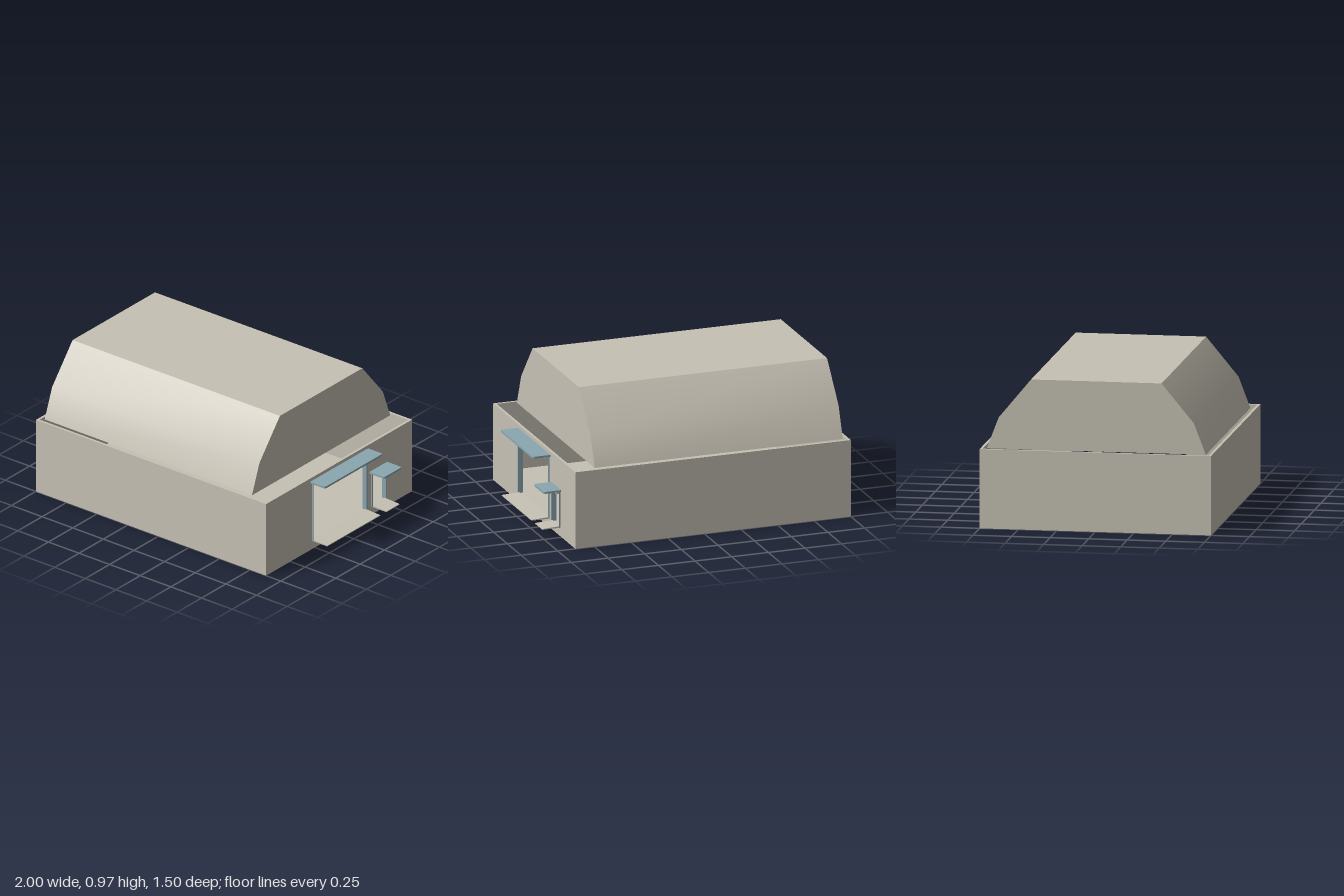
import * as THREE from 'three';
import { toCreasedNormals } from 'three/addons/utils/BufferGeometryUtils.js';

export function createModel() {
  const model = new THREE.Group();
  const stone = new THREE.MeshStandardMaterial({ color: 0xc6c1b4 });
  stone.name = 'warm grey';
  const blue = new THREE.MeshStandardMaterial({ color: 0x8ba7b1 });
  blue.name = 'dusty blue';

  const add = (name, geometry, material, parent = model) => {
    const mesh = new THREE.Mesh(geometry, material);
    mesh.name = name;
    parent.add(mesh);
    return mesh;
  };
  // Box given by its minimum and maximum corners
  const box = (name, [x0, y0, z0], [x1, y1, z1], material, parent) => {
    const g = new THREE.BoxGeometry(x1 - x0, y1 - y0, z1 - z0);
    g.translate((x0 + x1) / 2, (y0 + y1) / 2, (z0 + z1) / 2);
    return add(name, g, material, parent);
  };
  const rect = (path, a, b, c, d) => {
    path.moveTo(a, b).lineTo(c, b).lineTo(c, d).lineTo(a, d).closePath();
    return path;
  };
  // Outline in the z-y plane, extruded towards -x from the plane x = front
  const extrudeX = (shape, front, depth) => {
    const g = new THREE.ExtrudeGeometry(shape, { depth, bevelEnabled: false });
    return g.rotateY(-Math.PI / 2).translate(front, 0, 0);
  };

  const X0 = -1, X1 = 0.88, Z = 0.75, H = 0.515, T = 0.018, FLOOR = 0.06;
  const doors = [
    { name: 'largeDoor', z0: -0.28, z1: 0.28, top: 0.475, canopy: [-0.297, 0.295], y: 0.479 },
    { name: 'smallDoor', z0: -0.478, z1: -0.328, top: 0.3, canopy: [-0.493, -0.313], y: 0.303 },
  ];

  // Hollow lower hall, open at the top
  box('floor', [X0 + T, 0, -Z + T], [X1 - T, FLOOR, Z - T], stone);
  box('frontWall', [X0, 0, Z - T], [X1, H, Z], stone);
  box('backWall', [X0, 0, -Z], [X1, H, -Z + T], stone);
  box('rearEndWall', [X0, 0, -Z + T], [X0 + T, H, Z - T], stone);
  const wall = rect(new THREE.Shape(), -Z + T, 0, Z - T, H);
  for (const d of doors) wall.holes.push(rect(new THREE.Path(), d.z0, FLOOR, d.z1, d.top));
  add('doorWall', extrudeX(wall, X1, T), stone);

  // Raised roof with softly bent sides
  const roof = new THREE.Shape([
    [-0.71, H], [0.71, H], [0.633, 0.717], [0.423, 0.97], [-0.423, 0.97], [-0.633, 0.717],
  ].map(([z, y]) => new THREE.Vector2(z, y)));
  add('roof', toCreasedNormals(extrudeX(roof, 0.733, 1.693), 0.6), stone);

  // Doorways: frame, lintel, canopy and sill
  for (const d of doors) {
    const door = new THREE.Group();
    door.name = d.name;
    model.add(door);
    const p = 0.008;
    for (const z of [d.z0, d.z1 - p]) {
      box('doorPost', [X1 - 0.025, FLOOR, z], [X1 + 0.008, d.y, z + p], blue, door);
    }
    box('lintel', [X1 - 0.025, d.y - 0.018, d.z0 + p], [X1 + 0.024, d.y, d.z1 - p], stone, door);

    // Canopy with rounded outer corners, drawn in x and -z
    const [a, b] = d.canopy, r = 0.014, s = new THREE.Shape();
    s.moveTo(X1, -b).lineTo(1 - r, -b).quadraticCurveTo(1, -b, 1, -b + r);
    s.lineTo(1, -a - r).quadraticCurveTo(1, -a, 1 - r, -a).lineTo(X1, -a).closePath();
    const g = new THREE.ExtrudeGeometry(s, { depth: 0.013, bevelEnabled: false, curveSegments: 4 });
    add('canopy', g.rotateX(-Math.PI / 2).translate(0, d.y, 0), blue, door);

    // Sill slopes gently outwards
    const sill = new THREE.Shape();
    sill.moveTo(X1, 0.055).lineTo(1, 0.055).lineTo(1, 0.06).lineTo(X1, 0.066).closePath();
    const sg = new THREE.ExtrudeGeometry(sill, { depth: d.z1 - d.z0 - 2 * p, bevelEnabled: false });
    add('sill', sg.translate(0, 0, d.z0 + p), stone, door);
  }
  return model;
}
